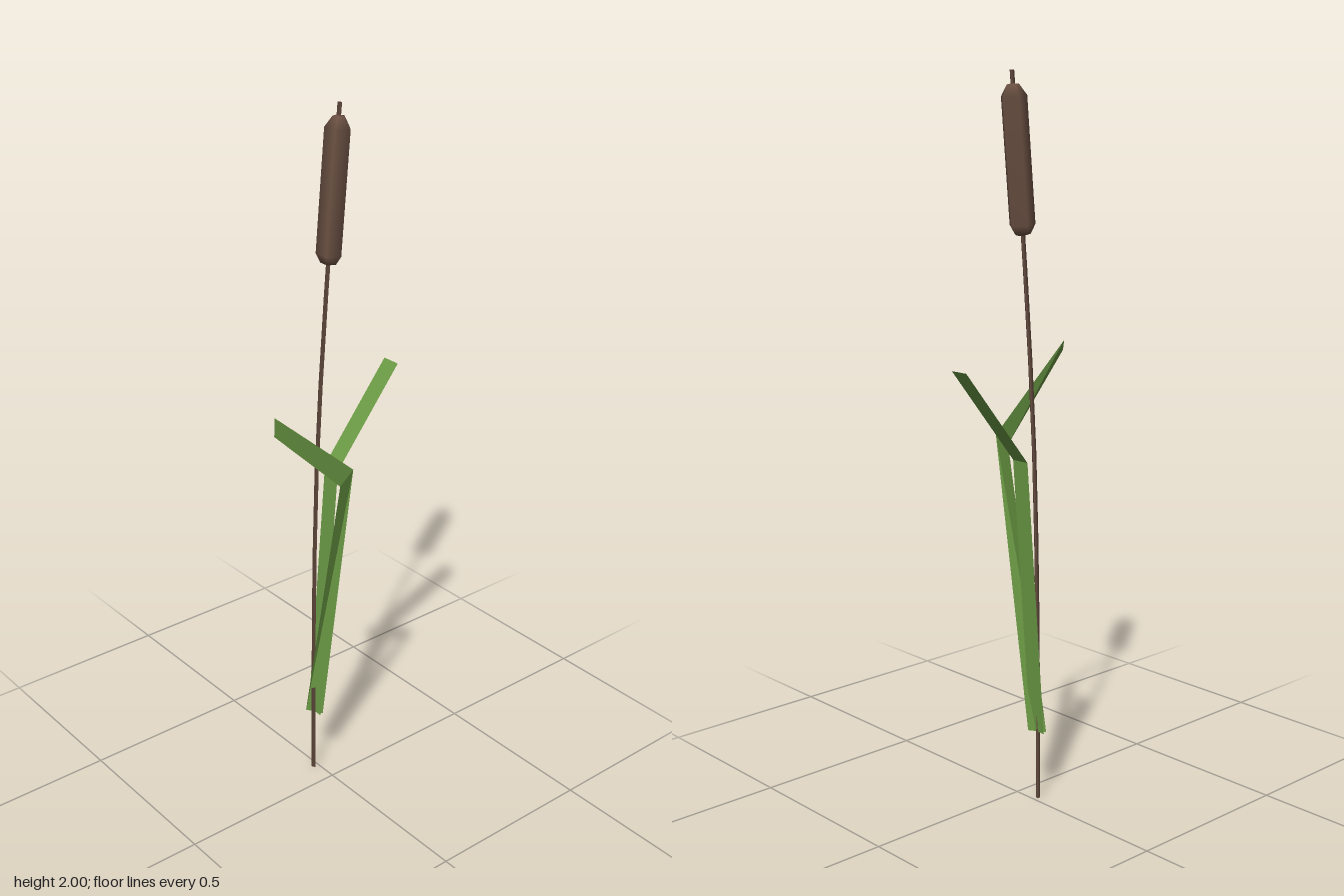
import * as THREE from 'three';

const V = (x, y, z) => new THREE.Vector3(x, y, z);

// Thin folded blade: each row holds its two edge points.
function blade(name, rows, material) {
  const pos = [];
  for (let i = 0; i < rows.length - 1; i++) {
    const [a, b] = rows[i], [c, d] = rows[i + 1];
    for (const p of [a, b, d, a, d, c]) pos.push(...p);
  }
  const geo = new THREE.BufferGeometry();
  geo.setAttribute('position', new THREE.Float32BufferAttribute(pos, 3));
  geo.computeVertexNormals();
  const mesh = new THREE.Mesh(geo, material);
  mesh.name = name;
  return mesh;
}

export function createModel() {
  const group = new THREE.Group();
  group.name = 'cattail';
  const brown = new THREE.MeshStandardMaterial({ color: 0x6a5042 });
  const green = new THREE.MeshStandardMaterial({ color: 0x6b9a45, side: THREE.DoubleSide });

  // Three-sided stem, leaning back towards the tip
  const path = new THREE.CatmullRomCurve3([
    V(-0.069, 0, 0.015), V(-0.068, 0.55, 0.011), V(-0.064, 1.05, -0.001),
    V(-0.059, 1.59, -0.036), V(-0.051, 2, -0.067),
  ]);
  const stem = new THREE.Mesh(new THREE.TubeGeometry(path, 8, 0.007, 3), brown);
  stem.name = 'stem';
  group.add(stem);

  // Five-sided seed head, lined up with the upper stem
  const low = V(-0.059, 1.58, -0.036), high = V(-0.052, 1.967, -0.065);
  const length = low.distanceTo(high);
  const profile = [[0.001, 0], [0.022, 0.005], [0.036, 0.03], [0.036, length - 0.032],
    [0.017, length - 0.003], [0.001, length]].map(([r, y]) => new THREE.Vector2(r, y));
  const head = new THREE.Mesh(new THREE.LatheGeometry(profile, 5, Math.PI), brown);
  head.name = 'seedHead';
  head.position.copy(low);
  head.quaternion.setFromUnitVectors(V(0, 1, 0), high.clone().sub(low).normalize());
  group.add(head);

  // Leaf folding to the back
  const across = (y, z) => [[-0.096, y, z], [-0.04, y, z]];
  group.add(blade('backLeaf', [across(0.2, 0.012), across(0.985, -0.052), across(1.25, -0.265)], green));

  // Leaf leaning to the left and folding to the front
  group.add(blade('frontLeaf', [
    [[-0.09, 0.2, 0.027], [-0.045, 0.2, 0]],
    [[0.058, 1.0, 0.02], [0.055, 1.035, -0.028]],
    [[0.093, 1.233, 0.264], [0.063, 1.267, 0.239]],
  ], green));

  return group;
}
